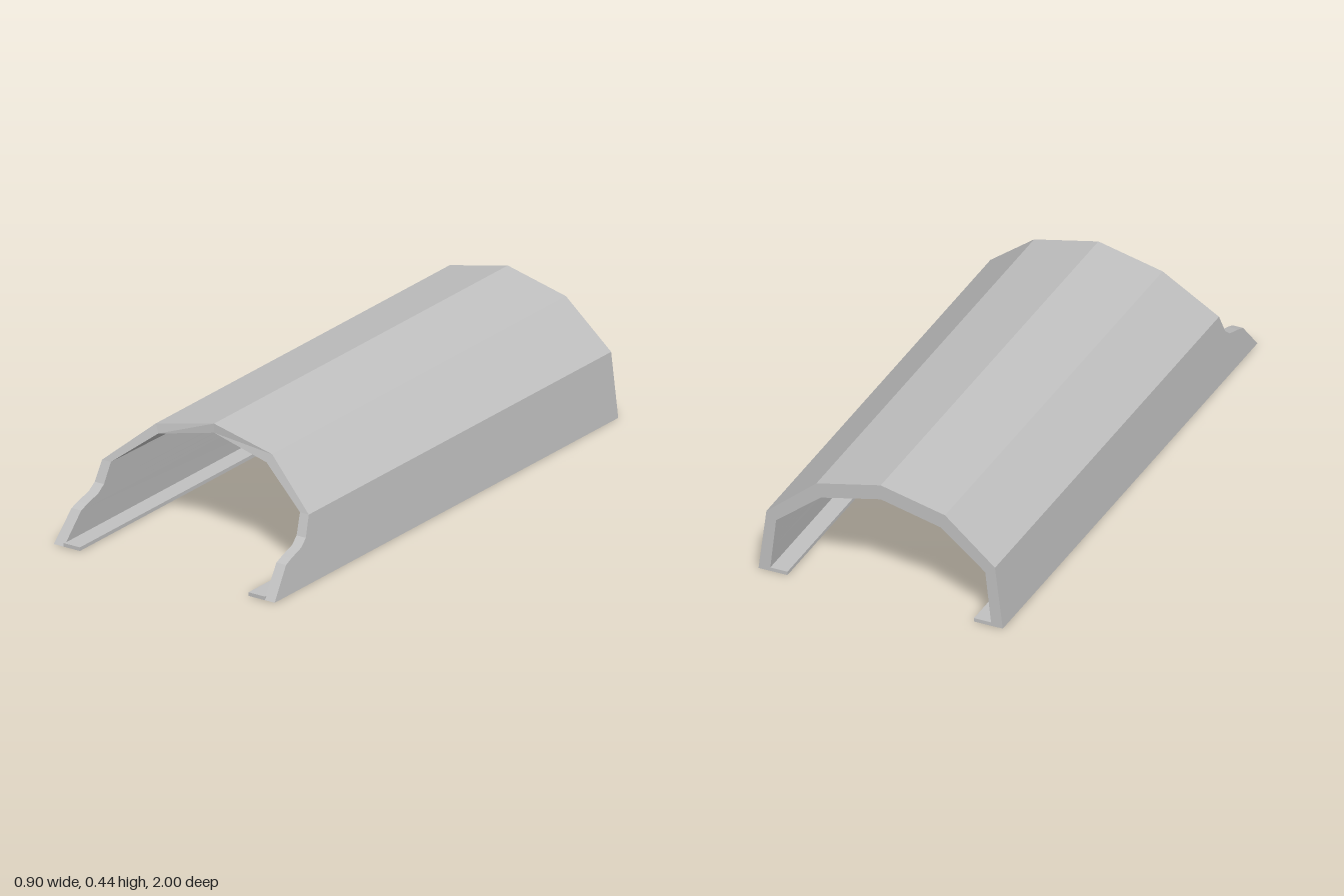
import * as THREE from 'three';

const grey = new THREE.MeshStandardMaterial({ color: 0xc0c0c0 });
grey.name = 'plain grey';

// Side outline of the front edge as [height, z]
const frontEdge = [[0, 1], [0.105, 0.915], [0.118, 0.88], [0.136, 0.82], [0.16, 0.79], [0.232, 0.76], [0.39, 0.71], [0.445, 0.71]];

function frontZ(y) {
  for (let i = 1; i < frontEdge.length; i++) {
    const [y0, z0] = frontEdge[i - 1], [y1, z1] = frontEdge[i];
    if (y <= y1) return z0 + (z1 - z0) * (y - y0) / (y1 - y0);
  }
  return 0.71;
}

// Half cross-section from wall foot to ridge: outer x, y, inner x, y, and inner drop at the back
function halfSection() {
  const wall = frontEdge.slice(0, 6).map(([y]) => {
    const t = y / 0.232;
    return [0.452 - 0.029 * t, y, 0.41 - 0.023 * t, y, 0.027 * t];
  });
  return [...wall, [0.238, 0.39, 0.222, 0.36, 0.022], [0, 0.445, 0, 0.412, 0.022]];
}

function shellGeometry() {
  const half = halfSection();
  const mirrored = half.slice(0, -1).reverse().map(([a, b, c, d, e]) => [-a, b, -c, d, e]);
  const rings = [...half, ...mirrored].map(([ox, oy, ix, iy, drop]) => ({
    outF: [ox, oy, frontZ(oy)],
    outB: [ox, oy, -1],
    inF: [ix, iy, frontZ(iy)],
    inB: [ix, iy - drop, -1],
  }));
  const pos = [];
  const quad = (a, b, c, d) => pos.push(...a, ...b, ...c, ...a, ...c, ...d);
  for (let i = 0; i < rings.length - 1; i++) {
    const p = rings[i], q = rings[i + 1];
    quad(p.outF, p.outB, q.outB, q.outF); // outside
    quad(p.inF, q.inF, q.inB, p.inB);     // inside
    quad(p.outF, q.outF, q.inF, p.inF);   // front rim
    quad(p.outB, p.inB, q.inB, q.outB);   // back rim
  }
  // Feet of both walls
  const a = rings[0], b = rings[rings.length - 1];
  quad(a.outF, a.inF, a.inB, a.outB);
  quad(b.outF, b.outB, b.inB, b.inF);
  const geo = new THREE.BufferGeometry();
  geo.setAttribute('position', new THREE.Float32BufferAttribute(pos, 3));
  geo.computeVertexNormals();
  return geo;
}

export function createModel() {
  const group = new THREE.Group();
  group.name = 'facetedCover';

  const shell = new THREE.Mesh(shellGeometry(), grey);
  shell.name = 'archedShell';
  group.add(shell);

  // Thin lips turned inward along the wall feet
  for (const side of [1, -1]) {
    const lip = new THREE.Mesh(new THREE.BoxGeometry(0.067, 0.013, 2), grey);
    lip.position.set(side * 0.3785, 0.0065, 0);
    lip.name = side > 0 ? 'leftLip' : 'rightLip';
    group.add(lip);
  }
  return group;
}
